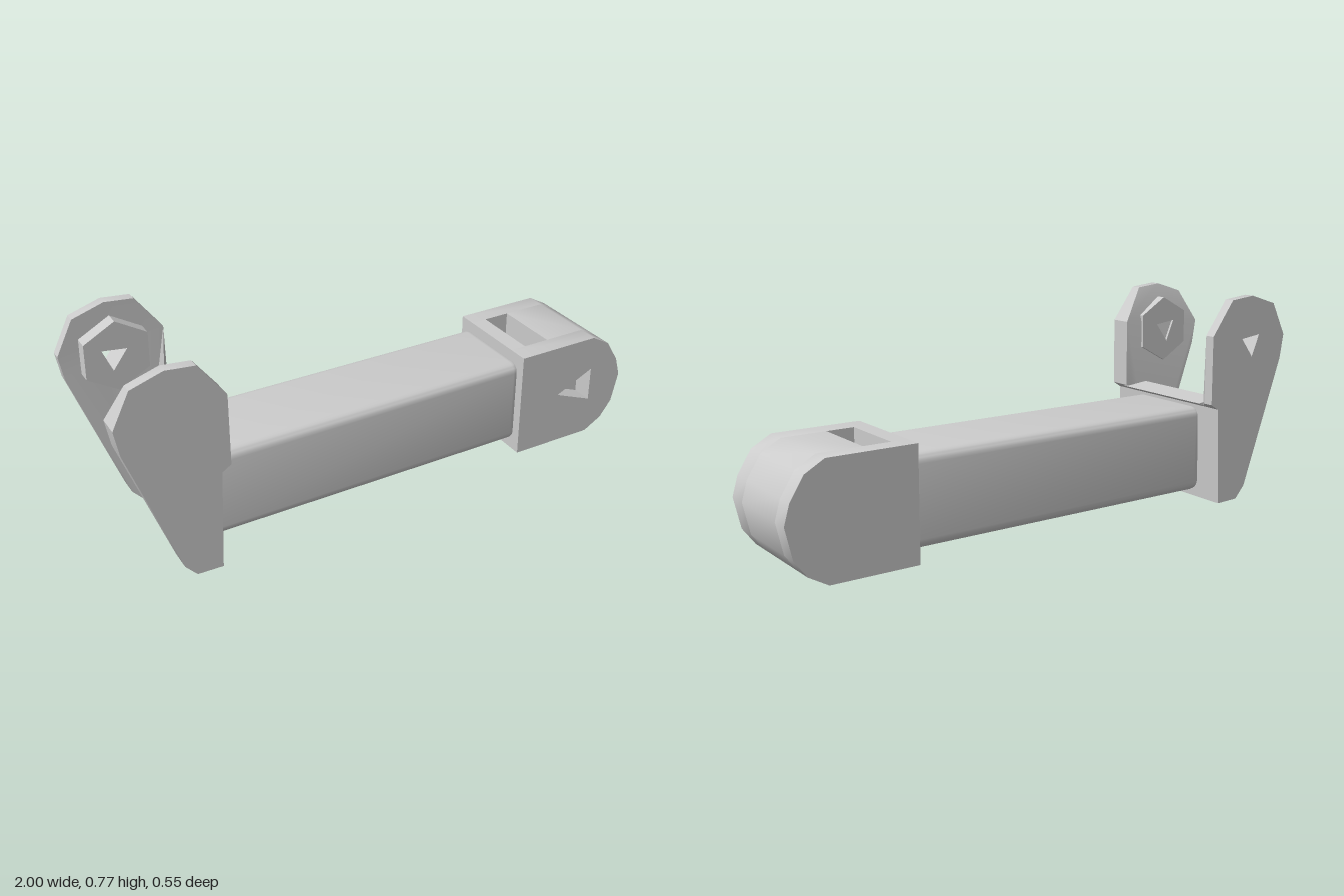
import * as THREE from 'three';
import { RoundedBoxGeometry } from 'three/addons/geometries/RoundedBoxGeometry.js';
import { toCreasedNormals } from 'three/addons/utils/BufferGeometryUtils.js';

const material = new THREE.MeshStandardMaterial({ color: 0xcccccc, side: THREE.DoubleSide });
const points = (list) => list.map(([x, y]) => new THREE.Vector2(x, y));

// Slab with an outline in x and y, between two depths, with optional holes
function slab(outline, z0, z1, holes = []) {
  const shape = new THREE.Shape(points(outline));
  for (const hole of holes) shape.holes.push(new THREE.Path(points(hole)));
  const geometry = new THREE.ExtrudeGeometry(shape, { depth: z1 - z0, bevelEnabled: false });
  return geometry.translate(0, 0, z0);
}

// Regular polygon as an outline
function ring(cx, cy, radius, sides, turn = 0) {
  return Array.from({ length: sides }, (_, i) => {
    const a = turn + (i / sides) * Math.PI * 2;
    return [cx + radius * Math.cos(a), cy + radius * Math.sin(a)];
  });
}

function add(parent, name, geometry) {
  const mesh = new THREE.Mesh(toCreasedNormals(geometry, 0.6), material);
  mesh.name = name;
  parent.add(mesh);
}

export function createModel() {
  const model = new THREE.Group();

  // Long beam between fork and eye
  const beam = new RoundedBoxGeometry(1.26, 0.32, 0.335, 3, 0.035);
  add(model, 'beam', beam.translate(-0.07, 0.2, -0.005));

  // Rounded eye block with a vertical slot and a recess in its front
  const eye = new THREE.Group();
  eye.name = 'eyeBlock';
  model.add(eye);
  const nose = [[0.86, 0], [0.93, 0.04], [0.975, 0.1], [1, 0.21], [0.98, 0.28], [0.93, 0.36], [0.86, 0.4]];
  const full = [[0.54, 0], ...nose, [0.54, 0.4]];
  add(eye, 'eyeBackCheek', slab(full, -0.195, -0.13));
  add(eye, 'eyeFrontCheek', slab(full, 0.12, 0.195, [[[0.71, 0.2], [0.86, 0.27], [0.86, 0.14]]]));
  add(eye, 'eyeCore', slab([[0.7, 0], ...nose, [0.7, 0.4]], -0.13, 0.12));
  add(eye, 'eyeRoot', slab([[0.54, 0], [0.6, 0], [0.6, 0.4], [0.54, 0.4]], -0.13, 0.12));

  // Fork at the other end: two arms, inner bosses and a joining web
  const fork = new THREE.Group();
  fork.name = 'fork';
  model.add(fork);
  const arm = [
    [-0.78, 0.015], [-0.69, 0.012], [-0.672, 0.37], [-0.64, 0.39], [-0.638, 0.64], [-0.73, 0.765],
    [-0.83, 0.775], [-0.94, 0.74], [-1, 0.62], [-0.985, 0.53], [-0.82, 0.06],
  ];
  const pinHole = ring(-0.83, 0.6, 0.05, 3, 0.4);
  for (const side of [1, -1]) {
    const label = side > 0 ? 'front' : 'back';
    const z = (a, b) => (side > 0 ? [a, b] : [-b, -a]);
    const plate = slab(arm, ...z(0.2, 0.277), side < 0 ? [pinHole] : []);
    // Thin the arm towards its top on the inner face
    const p = plate.attributes.position;
    const limit = side > 0 ? 0.66 : 0.38;
    for (let i = 0; i < p.count; i++) {
      if (Math.abs(p.getZ(i)) < 0.22 && p.getY(i) > limit) p.setZ(i, side * 0.24);
    }
    plate.computeVertexNormals();
    add(fork, label + 'Arm', plate);
    add(fork, label + 'Boss', slab(ring(-0.82, 0.6, 0.125, 6, 0.5), ...z(0.19, 0.245), [pinHole]));
  }
  const web = [[-0.74, 0.015], [-0.69, 0.012], [-0.672, 0.37], [-0.64, 0.385], [-0.74, 0.395]];
  add(fork, 'forkWeb', slab(web, -0.21, 0.21));

  return model;
}
